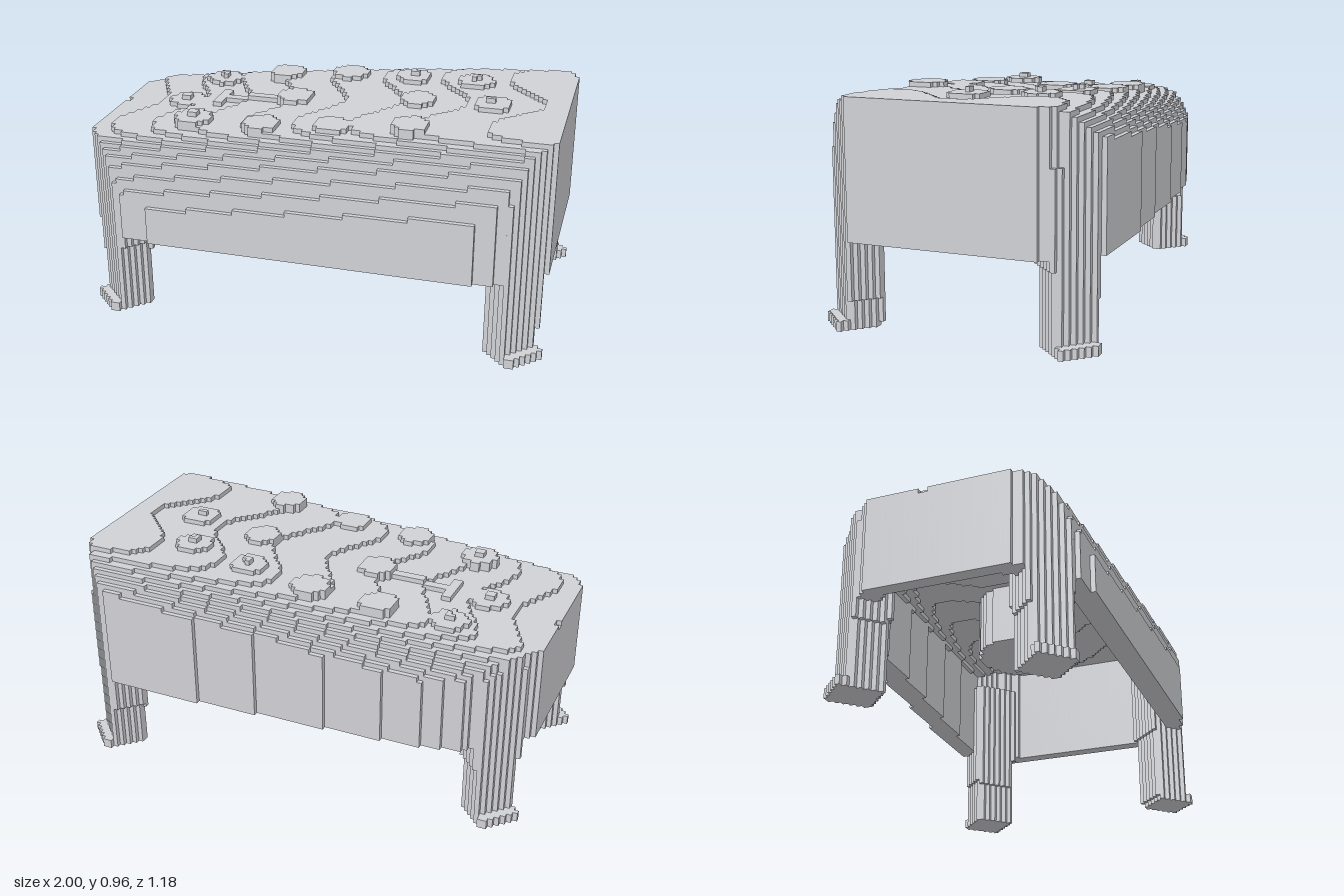
import * as THREE from 'three';

const V = 2 / 98;                         // size of one block
const N = [98, 48, 58];                   // blocks along x, y, z
const ORIGIN = [-1, 0, -29 * V];

// Builds a blocky solid from an inside(x, y, z) rule, merging faces into strips
function blocks(name, material, inside) {
  const S = N.map((n) => n + 2);
  const at = (c) => (c[0] * S[1] + c[1]) * S[2] + c[2];
  const full = new Uint8Array(S[0] * S[1] * S[2]);
  for (let i = 1; i <= N[0]; i++)
    for (let j = 1; j <= N[1]; j++)
      for (let k = 1; k <= N[2]; k++) {
        const p = [i, j, k].map((c, n) => ORIGIN[n] + (c - 0.5) * V);
        if (inside(...p)) full[at([i, j, k])] = 1;
      }
  const pos = [];
  for (let d = 0; d < 3; d++) {
    const a = d === 1 ? 0 : 1;            // strip direction
    const b = 3 - d - a;
    const even = (a - d + 3) % 3 === 1;
    for (const s of [1, -1]) {
      const c = [0, 0, 0];
      const open = () => {
        const n = c.slice();
        n[d] += s;
        return full[at(c)] && !full[at(n)];
      };
      for (let i = 1; i <= N[d]; i++)
        for (let k = 1; k <= N[b]; k++) {
          c[d] = i; c[b] = k;
          for (let j = 1; j <= N[a]; j++) {
            c[a] = j;
            if (!open()) continue;
            const start = j;
            while (j < N[a]) {
              c[a] = j + 1;
              if (!open()) break;
              j++;
            }
            const corner = (ja, kb) => {
              const q = [0, 0, 0];
              q[d] = s > 0 ? i : i - 1; q[a] = ja; q[b] = kb;
              return q.map((v, n) => ORIGIN[n] + v * V);
            };
            const q = [corner(start - 1, k - 1), corner(j, k - 1), corner(j, k), corner(start - 1, k)];
            if (even !== (s > 0)) q.reverse();
            for (const n of [0, 1, 2, 0, 2, 3]) pos.push(...q[n]);
          }
        }
    }
  }
  const geometry = new THREE.BufferGeometry();
  geometry.setAttribute('position', new THREE.Float32BufferAttribute(pos, 3));
  geometry.computeVertexNormals();
  const mesh = new THREE.Mesh(geometry, material);
  mesh.name = name;
  return mesh;
}

// Plan outline of the body, [x, z]
const OUTLINE = [
  [-1.01, -0.2], [-1.01, 0.33], [-0.97, 0.4], [-0.93, 0.45], [-0.85, 0.52], [-0.78, 0.565],
  [-0.67, 0.575], [-0.66, 0.61], [0.7, 0.61], [0.71, 0.575], [0.8, 0.56], [0.88, 0.52],
  [0.95, 0.45], [0.99, 0.4], [1.01, 0.36],
  [1.01, -0.36], [0.98, -0.41], [0.93, -0.48], [0.86, -0.56], [0.79, -0.6], [0.4, -0.582],
  [0.18, -0.565], [-0.1, -0.547], [-0.4, -0.525], [-0.6, -0.5], [-0.74, -0.465], [-0.82, -0.41],
  [-0.91, -0.34], [-0.97, -0.27],
];
function inOutline(x, z) {
  let hit = false;
  OUTLINE.forEach(([x1, z1], i) => {
    const [x2, z2] = OUTLINE[(i + 1) % OUTLINE.length];
    if (z1 > z !== z2 > z && x < x1 + ((z - z1) * (x2 - x1)) / (z2 - z1)) hit = !hit;
  });
  return hit;
}

// Sloping, gently waved top with a rounded front and a tighter rounded back
const backEdge = (x) => Math.max(-0.595, -0.545 - 0.085 * x);
function topHeight(x, z) {
  const front = Math.max(0, (z - 0.36) / 0.23);
  const back = Math.max(0, 1 - (z - backEdge(x)) / 0.19);
  const wave = 0.006 * (1 + Math.cos((Math.PI * z) / 0.3));
  return 0.876 + 0.085 * x - 0.015 * x * x - wave
    - 0.31 * front ** 3 - 0.13 * Math.min(1, back) ** 2;
}

// Raised studs on the top, [x, z, has a centre pip]
const STUDS = [
  [-0.61, -0.25, 1], [-0.32, -0.3, 0], [-0.02, -0.31, 0], [0.28, -0.28, 1], [0.57, -0.23, 1],
  [-0.69, 0.02, 1], [-0.19, 0, 0], [0.36, 0, 0], [0.68, 0.03, 1],
  [-0.55, 0.31, 1], [-0.23, 0.35, 0], [0.07, 0.34, 0], [0.4, 0.35, 0],
];

// Leg name, foot centre x and z
const LEGS = [
  ['frontRight', -0.855, 0.455], ['frontLeft', 0.88, 0.455],
  ['backRight', -0.855, -0.335], ['backLeft', 0.87, -0.475],
];

// True inside a rectangle turned 45 degrees, with one side facing the corner
function inTurnedBox(x, z, cx, cz, radial, across) {
  const dx = (x - cx) * Math.sign(cx), dz = (z - cz) * Math.sign(cz);
  return Math.abs(dx + dz) < radial * Math.SQRT2 && Math.abs(dx - dz) < across * Math.SQRT2;
}

export function createModel() {
  const model = new THREE.Group();
  const grey = new THREE.MeshStandardMaterial({ color: 0xd0d1d5 });
  grey.name = 'grey';
  const add = (name, inside) => model.add(blocks(name, grey, inside));

  // Hollow body, open underneath, with walls of even thickness
  add('body', (x, y, z) => {
    if (y < 0.365 || y > topHeight(x, z) || !inOutline(x, z)) return false;
    const cavity = Math.abs(x) < 0.93 && z < 0.5 && z > backEdge(x) + 0.09
      && y < topHeight(x, z) - 0.1
      && inOutline(x + Math.sign(x) * 0.06, z + Math.sign(z) * 0.06);
    return !cavity;
  });

  // Flat round studs, some with a small centre pip
  add('studs', (x, y, z) => {
    if (y < topHeight(x, z) - 0.03) return false;
    return STUDS.some(([sx, sz, pip]) => {
      const r = Math.hypot(x - sx, z - sz);
      const layers = pip && r < 0.019 ? 2.1 : 1.2;
      return r < 0.077 && y < topHeight(sx, sz) + layers * V;
    });
  });

  // Small T-shaped ridge on the top
  add('topRidge', (x, y, z) => {
    const top = topHeight(x, z);
    if (y < top - 0.03 || y > top + V) return false;
    const bar = x > -0.55 && x < -0.2 && Math.abs(z) < 0.03;
    const cross = x > -0.56 && x < -0.52 && Math.abs(z) < 0.075;
    return bar || cross;
  });

  // Round drum hanging inside the body
  add('innerDrum', (x, y, z) =>
    y > 0.49 && y < 0.8 && Math.hypot(x - 0.03, z - 0.04) < 0.2);

  // Tapered, slightly splayed legs on flat feet, all turned to the corners
  for (const [name, cx, cz] of LEGS) {
    const leg = new THREE.Group();
    leg.name = name + 'Leg';
    leg.add(blocks(name + 'Post', grey, (x, y, z) => {
      if (y > Math.min(0.72, topHeight(x, z) - 0.03)) return false;
      const t = Math.min(1, y / 0.37);
      const inset = 0.015 + 0.007 * t;
      return inTurnedBox(x, z, cx - Math.sign(cx) * inset, cz - Math.sign(cz) * inset,
        0.07 + 0.007 * t, 0.085 + 0.012 * t);
    }));
    leg.add(blocks(name + 'Foot', grey, (x, y, z) =>
      y < 2 * V && inTurnedBox(x, z, cx, cz, 0.088, 0.085)));
    model.add(leg);
  }
  return model;
}
